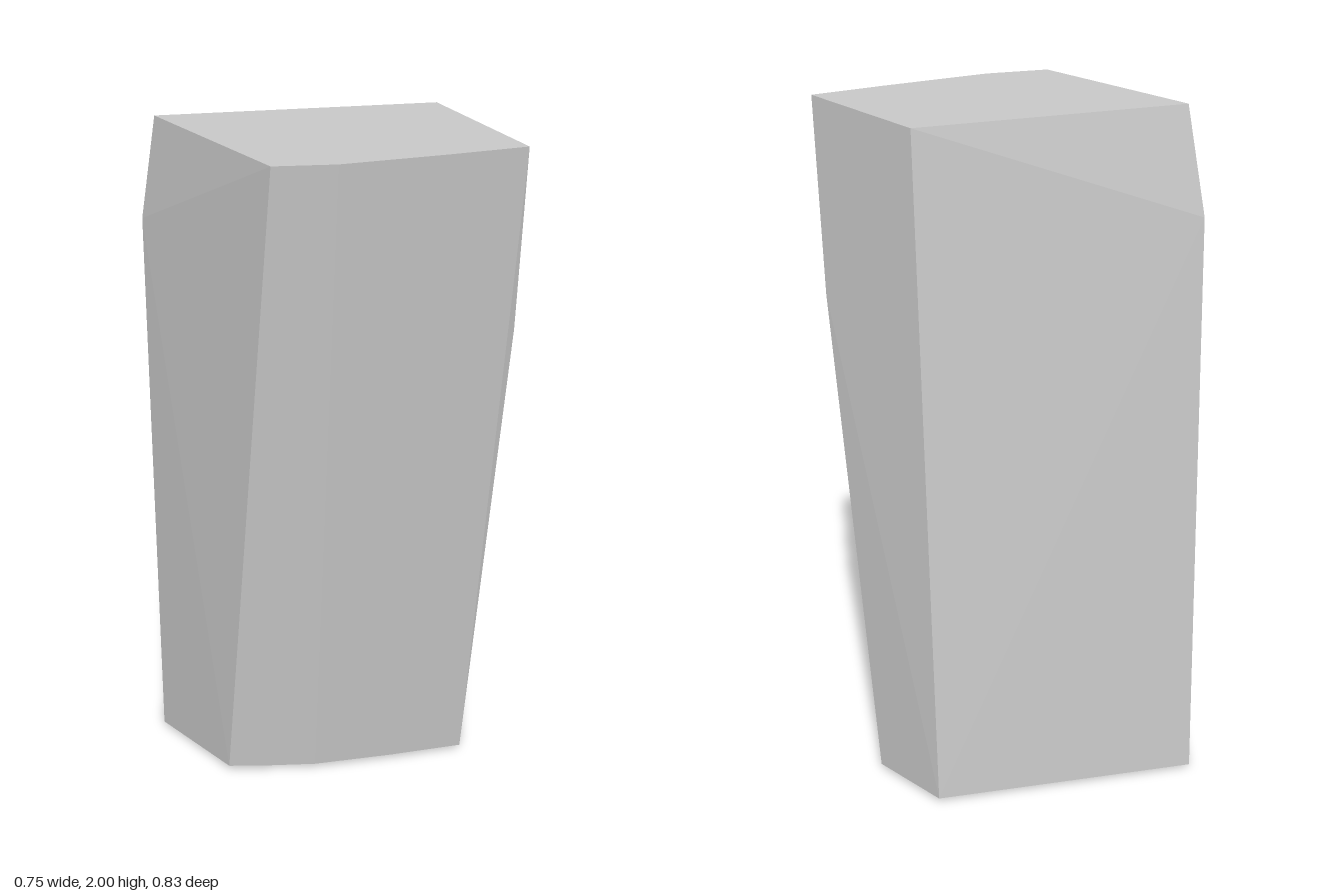
import * as THREE from 'three';
import { ConvexGeometry } from 'three/addons/geometries/ConvexGeometry.js';

export function createModel() {
  const group = new THREE.Group();
  group.name = 'stonePillar';

  // Corner points [x, y, z] of the faceted, leaning block
  const top = [
    [-0.36, 2, -0.31], [0.342, 2, 0], [0.356, 2, 0.412],
    [0.15, 2, 0.352], [-0.135, 2, 0.262], [-0.29, 2, 0.183],
  ];
  // Bulges on the back and front edges
  const shoulders = [[-0.378, 1.69, -0.366], [0.376, 1.45, 0.345]];
  const bottom = [
    [-0.338, 0.01, -0.414], [0.342, 0.01, -0.082], [0.354, 0.014, 0.172],
    [0.15, 0.014, 0.108], [-0.07, 0.014, 0.03], [-0.2, 0.014, -0.04], [-0.292, 0.014, -0.095],
  ];
  // Slight ridge under the base
  const ridge = [[-0.2, 0, -0.32], [0.2, 0, -0.125]];

  const points = [...top, ...shoulders, ...bottom, ...ridge].map((p) => new THREE.Vector3(...p));
  const block = new THREE.Mesh(
    new ConvexGeometry(points),
    new THREE.MeshStandardMaterial({ color: 0xcccccc, flatShading: true }),
  );
  block.name = 'block';
  group.add(block);
  return group;
}
